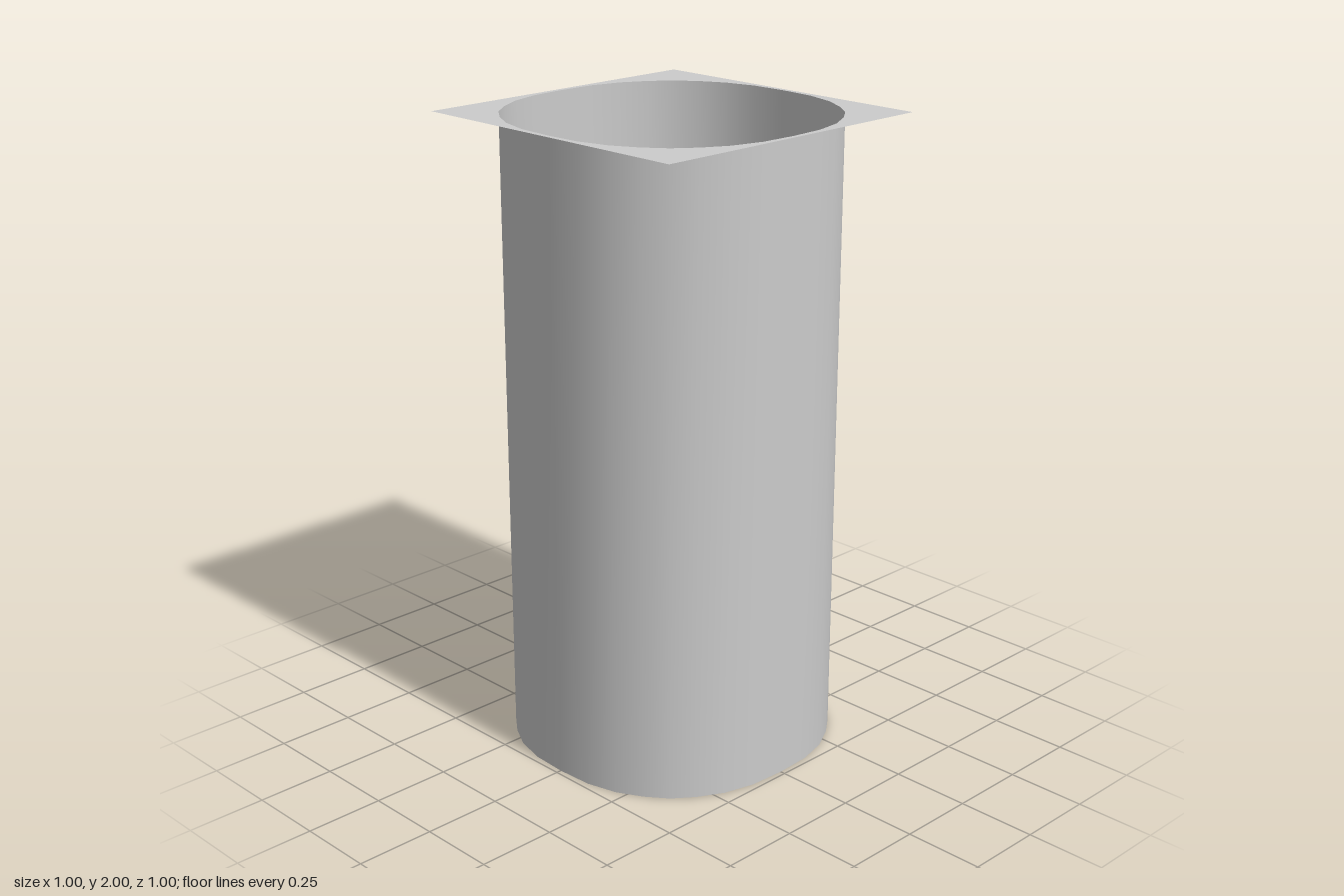
import * as THREE from 'three';
import { mergeVertices } from 'three/addons/utils/BufferGeometryUtils.js';

const SIDES = 32;
const HEIGHT = 2;

// Quarter wave of the rounded-square outline; the rest follows by symmetry.
const QUARTER = [0, 0.118, 0.217, 0.295, 0.36, 0.41, 0.452, 0.478, 0.484];

function wave(k) {
  const i = k % SIDES;
  const half = i % 16;
  return (i < 16 ? 1 : -1) * QUARTER[half <= 8 ? half : 16 - half];
}

const outlineX = (k) => wave(k);
const outlineZ = (k) => wave(k + 8);

export function createModel() {
  const model = new THREE.Group();
  model.name = 'flangedTube';
  const material = new THREE.MeshStandardMaterial({ color: 0xcccccc, side: THREE.DoubleSide });

  // Open tube: a cylinder wall reshaped to the outline, with smooth normals across the seam
  let wall = new THREE.CylinderGeometry(1, 1, HEIGHT, SIDES, 1, true);
  const pos = wall.attributes.position;
  for (let i = 0; i < pos.count; i++) {
    const k = i % (SIDES + 1);
    pos.setX(i, outlineX(k));
    pos.setZ(i, outlineZ(k));
  }
  wall.deleteAttribute('normal');
  wall.deleteAttribute('uv');
  wall = mergeVertices(wall);
  wall.computeVertexNormals();
  wall.translate(0, HEIGHT / 2, 0);
  const tube = new THREE.Mesh(wall, material);
  tube.name = 'tubeWall';
  model.add(tube);

  // Thin square flange at the top with the tube's opening cut out
  const square = new THREE.Shape([
    new THREE.Vector2(-0.5, -0.5),
    new THREE.Vector2(0.5, -0.5),
    new THREE.Vector2(0.5, 0.5),
    new THREE.Vector2(-0.5, 0.5),
  ]);
  const opening = [];
  for (let k = 0; k < SIDES; k++) opening.push(new THREE.Vector2(outlineX(k), outlineZ(k)));
  square.holes.push(new THREE.Path(opening));
  const plate = new THREE.ShapeGeometry(square);
  plate.rotateX(-Math.PI / 2);
  plate.translate(0, HEIGHT, 0);
  const flange = new THREE.Mesh(plate, material);
  flange.name = 'topFlange';
  model.add(flange);

  return model;
}
